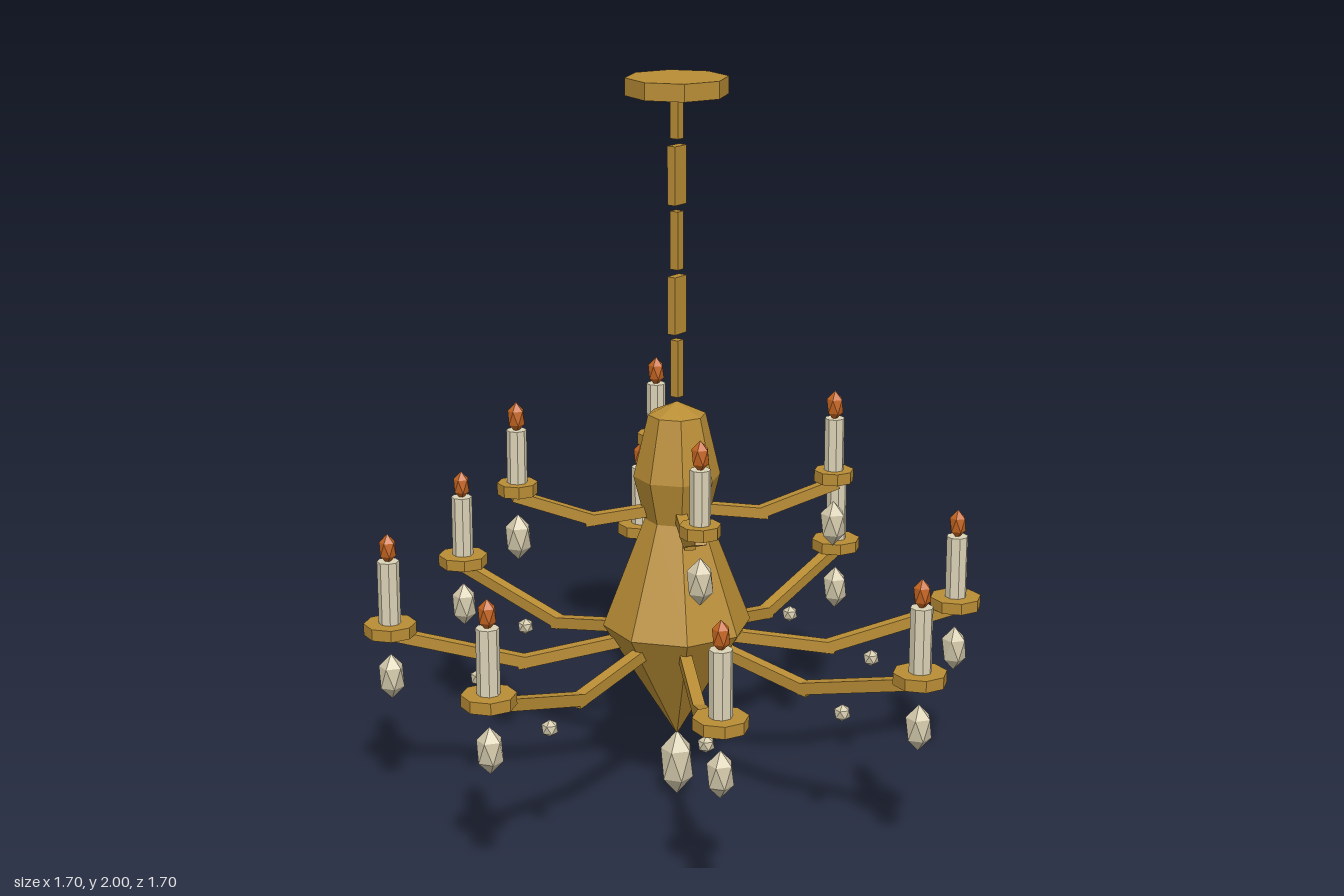
import * as THREE from 'three';

const mat = (name, color) => {
  const m = new THREE.MeshStandardMaterial({ color, flatShading: true });
  m.name = name;
  return m;
};

export function createModel() {
  const gold = mat('gold', 0xb98d35);
  const wax = mat('candle wax', 0xdcd3b6);
  const glass = mat('crystal', 0xd2c8aa);
  const fire = mat('flame', 0xc46420);

  const model = new THREE.Group();
  model.name = 'chandelier';

  const add = (parent, name, geometry, material, x = 0, y = 0, z = 0) => {
    const mesh = new THREE.Mesh(geometry, material);
    mesh.name = name;
    mesh.position.set(x, y, z);
    parent.add(mesh);
    return mesh;
  };

  // Faceted gem standing on one of its points
  const gem = (r, h) =>
    new THREE.IcosahedronGeometry(1, 0).rotateZ(-Math.atan(2 / (1 + Math.sqrt(5)))).scale(r, h, r);

  // Square bar between two (radius, height) points, lying along +x
  const bar = (parent, name, [x0, y0], [x1, y1], t) => {
    const box = new THREE.BoxGeometry(Math.hypot(x1 - x0, y1 - y0), t, t);
    add(parent, name, box, gold, (x0 + x1) / 2, (y0 + y1) / 2).rotation.z = Math.atan2(y1 - y0, x1 - x0);
  };

  // Ceiling plate
  add(model, 'ceilingPlate', new THREE.CylinderGeometry(0.136, 0.136, 0.046, 8), gold, 0, 1.977);

  // Chain of links, every second one wider
  for (let i = 0; i < 5; i++) {
    const depth = i % 2 ? 0.05 : 0.025;
    add(model, 'chainLink', new THREE.BoxGeometry(0.025, 0.155, depth), gold, 0, 1.918 - i * 0.173);
  }

  // Central column
  const profile = [[0, 0.18], [0.203, 0.51], [0.088, 0.81], [0.118, 0.93], [0.078, 1.1], [0, 1.135]];
  add(model, 'column', new THREE.LatheGeometry(profile.map(([r, y]) => new THREE.Vector2(r, y)), 8), gold);

  // Large crystal under the column
  add(model, 'bottomCrystal', gem(0.05, 0.095), glass, 0, 0.095);

  // One tier of arms, each with cup, candle, flame and hanging crystal
  const tier = (t) => {
    for (let i = 0; i < t.count; i++) {
      const angle = t.start + (i / t.count) * Math.PI * 2;
      const c = Math.cos(angle), s = Math.sin(angle);

      const arm = new THREE.Group();
      arm.name = t.name + 'Arm';
      arm.rotation.y = -angle;
      bar(arm, 'innerBar', t.inner[0], t.inner[1], t.thick);
      bar(arm, 'outerBar', t.outer[0], t.outer[1], t.thick);
      model.add(arm);

      const light = new THREE.Group();
      light.name = t.name + 'Light';
      light.position.set(c * t.radius, t.cupY, s * t.radius);
      add(light, 'cup', new THREE.CylinderGeometry(t.cupR, t.cupR, 0.032, 8), gold);
      add(light, 'candle', new THREE.CylinderGeometry(t.candleR, t.candleR, t.candleH, 8), wax,
        0, 0.016 + t.candleH / 2);
      add(light, 'flame', gem(0.025, 0.042), fire, 0, 0.016 + t.candleH + 0.034);
      add(light, 'hangingCrystal', gem(0.038, 0.064), glass, 0, -0.138);
      model.add(light);

      if (t.bead) add(model, 'bead', gem(0.024, 0.024), glass, c * 0.545, 0.375, s * 0.545);
    }
  };

  tier({
    name: 'lower', count: 8, start: 0, radius: 0.78, thick: 0.032,
    inner: [[0.08, 0.477], [0.44, 0.413]], outer: [[0.41, 0.414], [0.79, 0.517]],
    cupY: 0.53, cupR: 0.071, candleR: 0.03, candleH: 0.175, bead: true,
  });
  tier({
    name: 'upper', count: 4, start: Math.PI / 4, radius: 0.43, thick: 0.03,
    inner: [[0.04, 0.838], [0.25, 0.812]], outer: [[0.22, 0.812], [0.44, 0.89]],
    cupY: 0.911, cupR: 0.054, candleR: 0.027, candleH: 0.145, bead: false,
  });

  return model;
}
